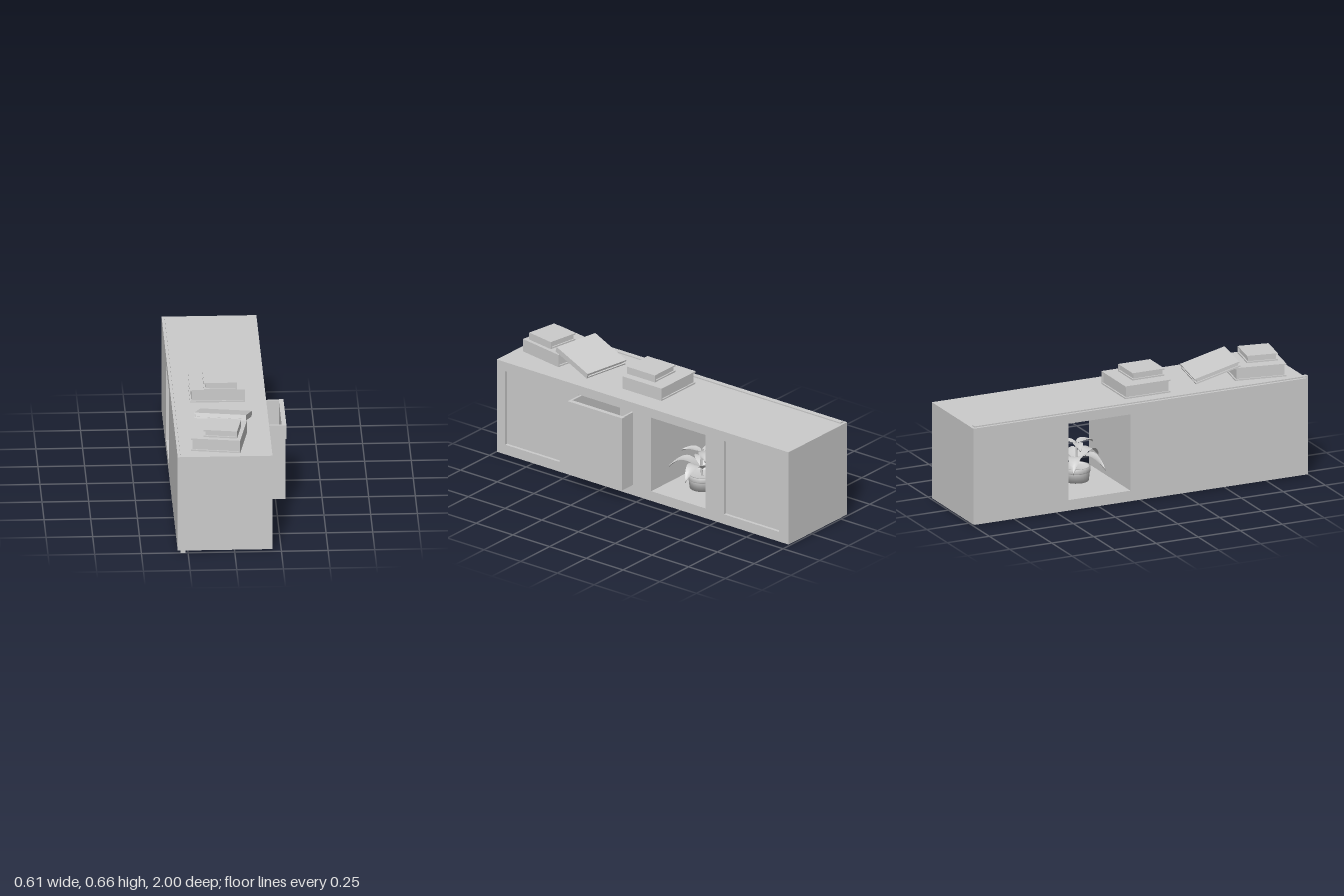
import * as THREE from 'three';

const grey = new THREE.MeshStandardMaterial({ color: 0xcccccc });
const thin = new THREE.MeshStandardMaterial({ color: 0xcccccc, side: THREE.DoubleSide });

function add(parent, name, geometry, material = grey) {
  const mesh = new THREE.Mesh(geometry, material);
  mesh.name = name;
  parent.add(mesh);
  return mesh;
}

// Box given by its limits on each axis
function block(parent, name, x0, x1, y0, y1, z0, z1) {
  const mesh = add(parent, name, new THREE.BoxGeometry(x1 - x0, y1 - y0, z1 - z0));
  mesh.position.set((x0 + x1) / 2, (y0 + y1) / 2, (z0 + z1) / 2);
  return mesh;
}

// Board standing in the z-y plane, pierced by rectangular holes [z0, z1, y0, y1]
function board(parent, name, x0, x1, [z0, z1, y0, y1], holes) {
  const corners = (a, b, c, d) => [[a, c], [b, c], [b, d], [a, d]].map(p => new THREE.Vector2(...p));
  const shape = new THREE.Shape(corners(z0, z1, y0, y1));
  for (const h of holes) shape.holes.push(new THREE.Path(corners(...h).reverse()));
  const geometry = new THREE.ExtrudeGeometry(shape, { depth: x1 - x0, bevelEnabled: false });
  geometry.rotateY(-Math.PI / 2).translate(x1, 0, 0);
  return add(parent, name, geometry);
}

// Closed book with its spine on +x, resting on its own base
function book(parent, name, w, h, d, x, y, z, turn = 0, tilt = 0) {
  const g = new THREE.Group();
  g.name = name;
  const c = 0.008, inset = 0.008;
  block(g, 'bottomCover', -w / 2, w / 2, 0, c, -d / 2, d / 2);
  block(g, 'topCover', -w / 2, w / 2, h - c, h, -d / 2, d / 2);
  block(g, 'spine', w / 2 - c, w / 2, c, h - c, -d / 2, d / 2);
  block(g, 'pages', -w / 2 + inset, w / 2 - c, c, h - c, -d / 2 + inset, d / 2 - inset);
  g.rotation.set(tilt, turn, 0, 'YXZ');
  g.position.set(x, y, z);
  parent.add(g);
}

// Arched leaf that starts at the stem and droops at its tip
function leaf(parent, angle, length, width, y, rise, drop) {
  const geometry = new THREE.PlaneGeometry(1, 1, 4, 10);
  const p = geometry.attributes.position;
  for (let i = 0; i < p.count; i++) {
    const t = p.getY(i) + 0.5, s = p.getX(i) * 2;
    const half = width * (0.06 + 0.94 * Math.pow(Math.sin(Math.PI * Math.pow(t, 0.8)), 0.9)) / 2;
    const spread = t > 0.99 ? 0 : half;
    p.setXYZ(i, t * length, rise * Math.sin(Math.PI * t) - drop * t * t + 0.01 * s * s * t, s * spread);
  }
  geometry.computeVertexNormals();
  const mesh = add(parent, 'leaf', geometry, thin);
  mesh.position.y = y;
  mesh.rotation.y = angle;
}

function plant() {
  const g = new THREE.Group();
  g.name = 'pottedPlant';
  const profile = [[0, 0], [0.068, 0], [0.074, 0.05], [0.072, 0.054], [0.078, 0.056], [0.078, 0.08],
    [0.07, 0.08], [0.068, 0.068], [0, 0.068]].map(p => new THREE.Vector2(...p));
  add(g, 'pot', new THREE.LatheGeometry(profile, 24), thin);
  const stem = new THREE.CatmullRomCurve3([[0, 0.06, 0], [0.004, 0.14, 0.004], [0, 0.222, 0]]
    .map(p => new THREE.Vector3(...p)));
  add(g, 'stem', new THREE.TubeGeometry(stem, 8, 0.006, 8));
  for (let i = 0; i < 5; i++) {
    leaf(g, 1.35 + i * Math.PI * 0.4, 0.17 + 0.015 * (i % 2), 0.075, 0.105, 0.055, 0.01 + 0.012 * (i % 3));
  }
  for (let i = 0; i < 3; i++) leaf(g, -1.3 + i * Math.PI * 2 / 3, 0.12, 0.055, 0.21, 0.012, 0.02);
  g.position.set(-0.01, 0.065, -0.245);
  return g;
}

export function createModel() {
  const model = new THREE.Group();
  model.name = 'sideboard';

  // Cabinet: front part with four bays, back part with the open bay only
  const low = 0.065, high = 0.495;
  const bays = [[0.56, 0.93], [0.058, 0.43], [-0.435, -0.065], [-0.935, -0.56]].map(b => [...b, low, high]);
  const outline = [-1, 0.987, 0.008, 0.548];
  board(model, 'cabinetBody', -0.24, 0.203, outline, bays);
  board(model, 'cabinetBack', -0.305, -0.24, outline, [bays[2]]);
  board(model, 'backRail', -0.29, -0.265, [-0.985, 1, 0, 0.555], [[-0.44, -0.06, 0.06, 0.5]]);

  // Recessed closed fronts
  for (const b of [bays[0], bays[3]]) block(model, 'closedFront', -0.235, 0.186, low, high, b[0], b[1]);

  // Pulled-out drawer, open on top
  const drawer = new THREE.Group();
  drawer.name = 'drawer';
  model.add(drawer);
  block(drawer, 'drawerFront', 0.277, 0.297, 0.067, 0.492, 0.06, 0.425);
  block(drawer, 'drawerLip', 0.277, 0.302, 0.413, 0.492, 0.055, 0.425);
  block(drawer, 'drawerFloor', -0.15, 0.277, 0.067, 0.08, 0.06, 0.425);
  block(drawer, 'drawerBack', -0.15, -0.135, 0.08, 0.492, 0.06, 0.425);
  for (const z of [0.06, 0.413]) block(drawer, 'drawerSide', -0.135, 0.277, 0.08, 0.492, z, z + 0.012);

  model.add(plant());

  // Books: straight stack, turned stack and one leaning book
  book(model, 'largeBook', 0.295, 0.072, 0.267, -0.058, 0.548, 0.087);
  book(model, 'smallBook', 0.178, 0.041, 0.19, -0.042, 0.62, 0.128);
  const turn = -0.17;
  book(model, 'turnedLargeBook', 0.265, 0.072, 0.285, -0.075, 0.548, 0.782, turn);
  book(model, 'turnedSmallBook', 0.18, 0.041, 0.172, -0.058, 0.62, 0.813, turn);
  book(model, 'leaningBook', 0.278, 0.03, 0.26, -0.043, 0.593, 0.543, turn, -0.3);

  return model;
}
